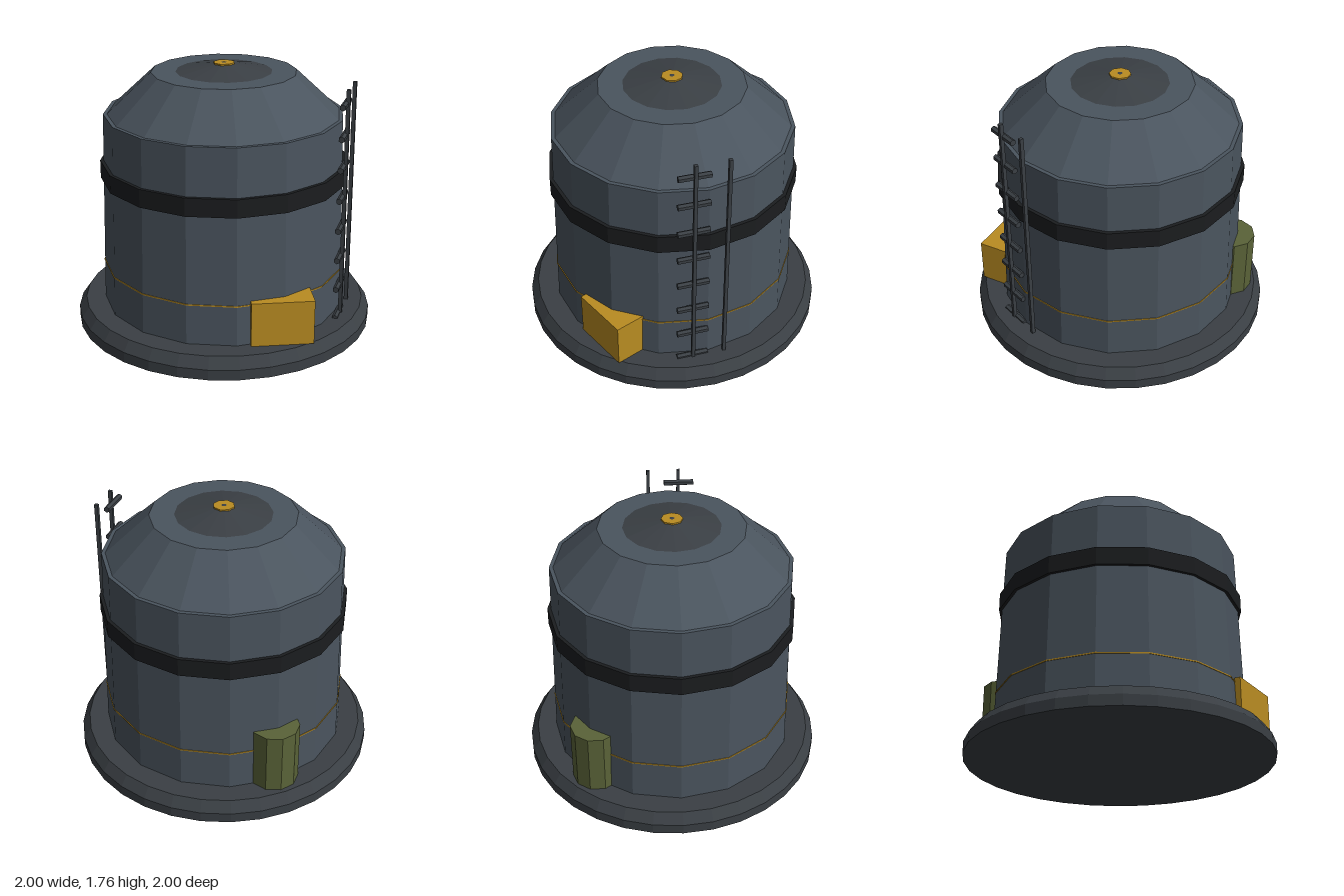
import * as THREE from 'three';

const mat = (color) => new THREE.MeshStandardMaterial({ color, flatShading: true });

export function createModel() {
  const model = new THREE.Group();
  const steel = mat(0x4a545e), darkSteel = mat(0x3a3f44), black = mat(0x1b1d1f);
  const yellow = mat(0xb98c22), olive = mat(0x5a6338);

  const add = (name, geometry, material, x = 0, y = 0, z = 0, parent = model) => {
    const mesh = new THREE.Mesh(geometry, material);
    mesh.name = name;
    mesh.position.set(x, y, z);
    parent.add(mesh);
    return mesh;
  };
  // Turned part from [radius, height] pairs, listed bottom to top
  const turned = (points, sides) =>
    new THREE.LatheGeometry(points.map(([r, y]) => new THREE.Vector2(r, y)), sides);

  // Bevelled foundation disc
  add('base', turned([[0, 0], [1, 0], [1, 0.07], [0.95, 0.14], [0, 0.14]], 32), darkSteel);

  // Tapered tank wall with a narrow lip, and sloping shoulder with flat top
  add('tankWall', turned([[0.82, 0.14], [0.79, 1.435], [0, 1.435]], 16), steel);
  add('shoulder', turned([[0.77, 1.43], [0.475, 1.705], [0, 1.705]], 16), steel);

  // Shallow roof cone and its cap
  add('roofCone', turned([[0.315, 1.705], [0, 1.765]], 16), darkSteel);
  add('roofCap', new THREE.CylinderGeometry(0.07, 0.07, 0.014, 8), yellow, 0, 1.755, 0);

  // Reinforcing band and thin marking stripe
  add('band', turned([[0.79, 1.0], [0.82, 1.0], [0.82, 1.12], [0.79, 1.12]], 16), black);
  add('stripe', turned([[0.80, 0.405], [0.818, 0.405], [0.818, 0.413], [0.80, 0.413]], 16), yellow);

  // Control box set into the front left of the wall
  add('controlBox', new THREE.BoxGeometry(0.4, 0.295, 0.25), yellow, 0.537, 0.2875, 0.547)
    .rotation.y = 0.396;

  // Small drum set into the rear right of the wall
  add('drum', new THREE.CylinderGeometry(0.162, 0.162, 0.42, 10), olive, -0.54, 0.35, -0.54);

  // Ladder: two rails, with short rungs carried on the front rail
  const ladder = new THREE.Group();
  ladder.name = 'ladder';
  model.add(ladder);
  for (const z of [0.105, -0.105]) {
    add('ladderRail', new THREE.BoxGeometry(0.025, 1.53, 0.022), darkSteel, 0.84, 0.905, z, ladder);
  }
  const rungGeometry = new THREE.CylinderGeometry(0.021, 0.021, 0.205, 6).rotateX(Math.PI / 2);
  for (let i = 0; i < 8; i++) {
    add('ladderRung', rungGeometry, darkSteel, 0.825, 0.14 + i * 0.2055, 0.107, ladder);
  }

  return model;
}
